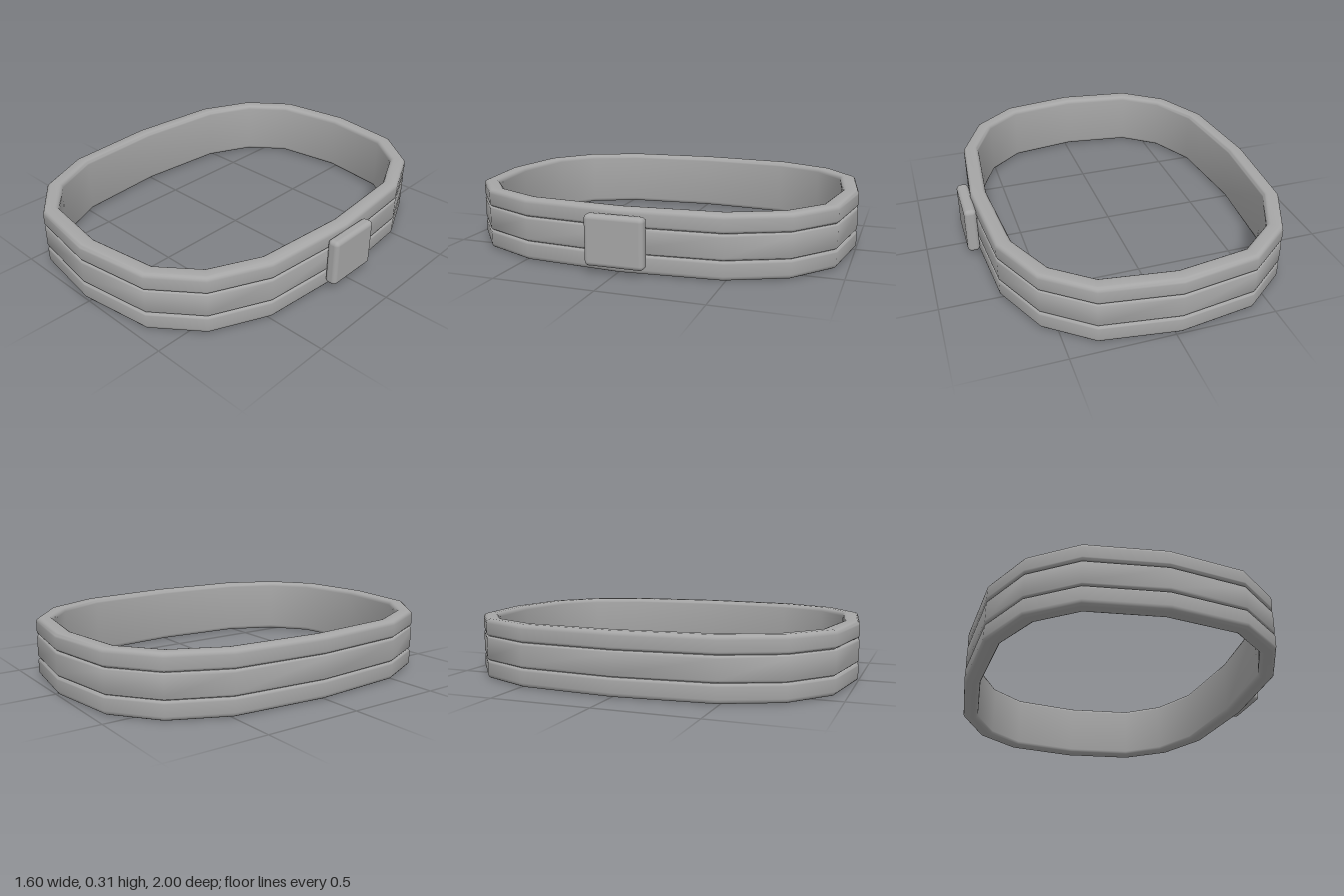
import * as THREE from 'three';
import { toCreasedNormals } from 'three/addons/utils/BufferGeometryUtils.js';
import { RoundedBoxGeometry } from 'three/addons/geometries/RoundedBoxGeometry.js';

const THICK = 0.082, HEIGHT = 0.305, CENTRE_X = -0.027;

// One quadrant of the ring plan: [outer x, outer z, inner x, inner z]
const QUADRANT = [
  [0.772, 0, 0.69, 0],
  [0.732, 0.49, 0.652, 0.475],
  [0.602, 0.772, 0.537, 0.72],
  [0.38, 0.945, 0.355, 0.865],
  [0, 1, 0, 0.915],
];

// Mirror the quadrant into the full sixteen-sided loop
function planLoop() {
  const flip = (sx, sz) => ([a, b, c, d]) => [a * sx, b * sz, c * sx, d * sz];
  const q = QUADRANT;
  const back = [...q].reverse();
  return [
    ...q.slice(0, 4),
    ...back.slice(0, 4).map(flip(-1, 1)),
    ...q.slice(0, 4).map(flip(-1, -1)),
    ...back.slice(0, 4).map(flip(1, -1)),
  ];
}

// Band section as [depth from inner wall, height], counterclockwise
function bandProfile() {
  const points = [];
  const arc = (cx, cy, r, from) => {
    for (let k = 0; k <= 4; k++) {
      const a = from + (k / 4) * Math.PI / 2;
      points.push([cx + r * Math.cos(a), cy + r * Math.sin(a)]);
    }
  };
  // three rounded strips with narrow grooves between them
  const strips = [[0, 0.092], [0.094, 0.216], [0.218, HEIGHT]];
  strips.forEach(([y0, y1], i) => {
    const r0 = i === 0 ? 0.022 : 0.014;
    const r1 = i === 2 ? 0.022 : 0.014;
    arc(THICK - r0, y0 + r0, r0, -Math.PI / 2);
    arc(THICK - r1, y1 - r1, r1, 0);
  });
  // rounded inner rims
  const r = 0.022;
  arc(r, HEIGHT - r, r, Math.PI / 2);
  arc(r, r, r, Math.PI);
  return points;
}

// Sweep the section around the plan
function bandGeometry() {
  const loop = planLoop(), profile = bandProfile();
  const n = loop.length, m = profile.length;
  const positions = [], index = [];
  for (let i = 0; i < n; i++) {
    const [ox, oz, ix, iz] = loop[i];
    for (let j = 0; j < m; j++) {
      const t = profile[j][0] / THICK;
      positions.push(ix + (ox - ix) * t, profile[j][1], iz + (oz - iz) * t);
      const a = i * m + j, b = i * m + (j + 1) % m;
      const c = ((i + 1) % n) * m + j, d = ((i + 1) % n) * m + (j + 1) % m;
      index.push(a, b, c, b, d, c);
    }
  }
  const geometry = new THREE.BufferGeometry();
  geometry.setAttribute('position', new THREE.Float32BufferAttribute(positions, 3));
  geometry.setIndex(index);
  return toCreasedNormals(geometry, THREE.MathUtils.degToRad(50));
}

export function createModel() {
  const group = new THREE.Group();
  group.name = 'belt';
  const grey = new THREE.MeshStandardMaterial({ color: 0xa6a6a6 });
  grey.name = 'grey';

  const band = new THREE.Mesh(bandGeometry(), grey);
  band.name = 'band';
  band.position.x = CENTRE_X;
  group.add(band);

  // Rounded plate on the side of the band
  const buckle = new THREE.Mesh(new RoundedBoxGeometry(0.062, 0.245, 0.292, 4, 0.022), grey);
  buckle.name = 'buckle';
  buckle.position.set(0.768, 0.157, 0);
  group.add(buckle);

  return group;
}
